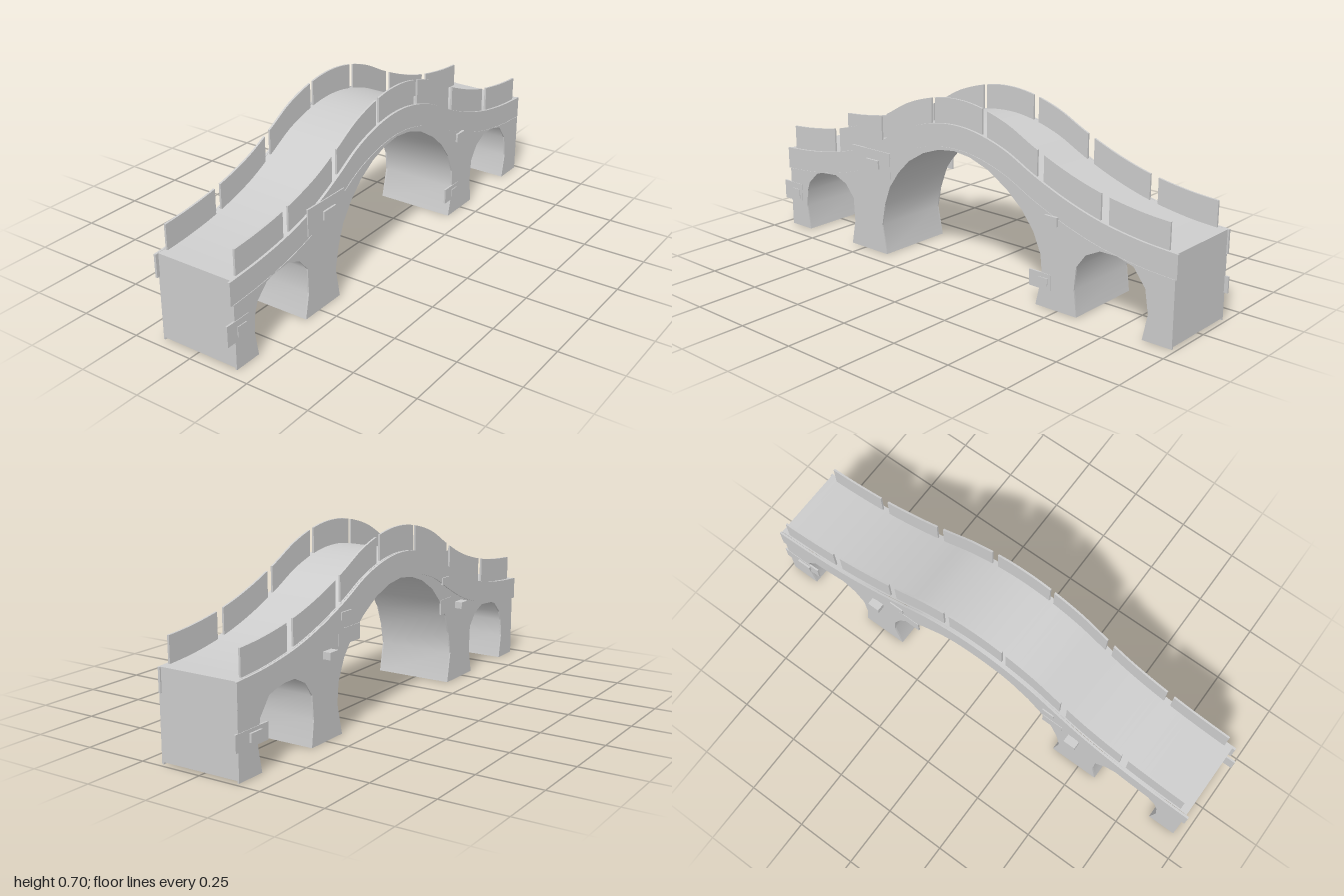
import * as THREE from 'three';

// Profiles are [z, y] points, running from the front (+z) to the back (-z).
const DECK = [[0.972, 0.34], [0.82, 0.352], [0.66, 0.378], [0.5, 0.425], [0.37, 0.487], [0.25, 0.552], [0.12, 0.592], [0, 0.605],
  [-0.12, 0.592], [-0.25, 0.552], [-0.38, 0.487], [-0.53, 0.425], [-0.68, 0.38], [-0.84, 0.352], [-0.99, 0.34]];
const FRONT_ARCH = [[0.845, 0], [0.862, 0.1], [0.855, 0.17], [0.84, 0.21], [0.79, 0.258], [0.73, 0.278], [0.67, 0.276],
  [0.61, 0.252], [0.565, 0.2], [0.56, 0.1], [0.58, 0]];
const MAIN_ARCH = [[0.375, 0], [0.398, 0.12], [0.38, 0.21], [0.35, 0.29], [0.3, 0.36], [0.24, 0.42], [0.16, 0.468], [0.08, 0.496],
  [0, 0.506], [-0.08, 0.496], [-0.17, 0.465], [-0.26, 0.41], [-0.33, 0.35], [-0.385, 0.28], [-0.42, 0.2], [-0.428, 0.12], [-0.4, 0]];
const BACK_ARCH = [[-0.585, 0], [-0.572, 0.1], [-0.58, 0.19], [-0.62, 0.245], [-0.68, 0.275], [-0.75, 0.275],
  [-0.82, 0.255], [-0.87, 0.19], [-0.885, 0.1], [-0.865, 0]];
const X0 = -0.15, X1 = 0.17, ZF = 0.96, ZB = -0.985, BAND = 0.09;

const mat = new THREE.MeshStandardMaterial({ color: 0xcccccc });
const sheetMat = new THREE.MeshStandardMaterial({ color: 0xcccccc, side: THREE.DoubleSide });

const deckCurve = new THREE.SplineCurve(DECK.map(([z, y]) => new THREE.Vector2(z, y)));
const deckPoints = deckCurve.getPoints(84).map((p) => [p.x, p.y]);

function deckY(z) {
  for (let i = 1; i < deckPoints.length; i++) {
    const [za, ya] = deckPoints[i - 1], [zb, yb] = deckPoints[i];
    if (z <= za && z >= zb) return THREE.MathUtils.lerp(ya, yb, (za - z) / (za - zb));
  }
  return 0.34;
}

// Deck heights sampled between two z positions, shifted by dy
function deckLine(za, zb, n, dy) {
  return Array.from({ length: n + 1 }, (_, i) => {
    const z = za + ((zb - za) * i) / n;
    return [z, deckY(z) + dy];
  });
}

function createModel() {
  const bridge = new THREE.Group();
  bridge.name = 'archBridge';

  function add(name, geometry, material = mat) {
    const mesh = new THREE.Mesh(geometry, material);
    mesh.name = name;
    bridge.add(mesh);
    return mesh;
  }

  // Slab with a [z, y] outline between xa and xb
  function slab(name, outline, xa, xb) {
    const shape = new THREE.Shape(outline.map(([z, y]) => new THREE.Vector2(z, y)));
    const geo = new THREE.ExtrudeGeometry(shape, { depth: xb - xa, bevelEnabled: false });
    geo.rotateY(-Math.PI / 2).translate(xb, 0, 0);
    return add(name, geo);
  }

  // Open surface sweeping a [z, y] line across the width
  function sheet(name, line) {
    const pos = [], index = [];
    line.forEach(([z, y], i) => {
      pos.push(X0, y, z, X1, y, z);
      const a = i * 2;
      if (i) index.push(a - 2, a - 1, a, a - 1, a + 1, a);
    });
    const geo = new THREE.BufferGeometry();
    geo.setAttribute('position', new THREE.Float32BufferAttribute(pos, 3));
    geo.setIndex(index);
    geo.computeVertexNormals();
    return add(name, geo, sheetMat);
  }

  // Box given by its x, y and z ranges
  function block(name, [xa, xb], [ya, yb], [za, zb]) {
    const geo = new THREE.BoxGeometry(xb - xa, yb - ya, zb - za);
    add(name, geo).position.set((xa + xb) / 2, (ya + yb) / 2, (za + zb) / 2);
  }

  // Road surface, arch linings and end walls; the piers are hollow below
  sheet('roadDeck', deckLine(ZF, ZB, 80, 0));
  sheet('frontArchLining', FRONT_ARCH);
  sheet('mainArchLining', MAIN_ARCH);
  sheet('backArchLining', BACK_ARCH);
  sheet('frontEndWall', [[ZF, 0.008], [ZF, deckY(ZF)]]);
  sheet('backEndWall', [[ZB, deckY(ZB)], [ZB, 0.008]]);

  // Side walls follow the three arches, with a band under the road edge
  const wall = [[ZF, 0], ...FRONT_ARCH, ...MAIN_ARCH, ...BACK_ARCH, [ZB, 0], ...deckLine(ZB, ZF, 64, -BAND)];
  const band = [...deckLine(0.972, -0.99, 64, 0), ...deckLine(-0.99, 0.972, 64, -BAND)];
  slab('rightSideWall', wall, -0.155, -0.148);
  slab('leftSideWall', wall, 0.168, 0.175);
  slab('rightEdgeBand', band, -0.16, -0.151);
  slab('leftEdgeBand', band, 0.164, 0.173);

  // Parapet slabs with gaps between them
  const spans = [[0.93, 0.68], [0.65, 0.4], [0.37, 0.125], [0.107, -0.13], [-0.155, -0.39], [-0.42, -0.67], [-0.705, -0.95]];
  for (const [za, zb] of spans) {
    const outline = [...deckLine(za, zb, 10, 0.098), ...deckLine(zb, za, 10, -0.01)];
    slab('rightParapet', outline, -0.144, -0.136);
    slab('leftParapet', outline, 0.155, 0.163);
  }

  // Flat stone patches on the walls
  const leftPatch = [0.17, 0.177], rightPatch = [-0.157, -0.15];
  block('leftPatch', leftPatch, [0.325, 0.43], [0.345, 0.56]);
  block('leftPatch', leftPatch, [0.11, 0.19], [0.89, 1.0]);
  block('leftPatch', leftPatch, [0.07, 0.132], [-0.47, -0.37]);
  block('rightPatch', rightPatch, [0.105, 0.168], [-1.0, -0.83]);
  block('rightPatch', rightPatch, [0.33, 0.39], [-0.42, -0.285]);
  block('rightPatch', rightPatch, [0.3, 0.36], [0.31, 0.4]);

  // Protruding bricks
  block('leftBrick', [0.17, 0.185], [0.355, 0.39], [0.405, 0.475]);
  block('leftBrick', [0.17, 0.18], [0.125, 0.165], [0.905, 0.95]);
  block('leftBrick', [0.17, 0.18], [0.085, 0.115], [-0.455, -0.415]);
  block('leftBrick', [0.17, 0.184], [0.322, 0.357], [-0.497, -0.442]);
  block('rightBrick', [-0.187, -0.15], [0.305, 0.332], [-0.515, -0.465]);
  block('rightBrick', [-0.187, -0.15], [0.305, 0.332], [0.43, 0.48]);
  block('rightBrick', [-0.165, -0.15], [0.423, 0.452], [-0.41, -0.35]);
  block('rightBrick', [-0.165, -0.15], [0.423, 0.452], [0.31, 0.36]);
  block('rightBrick', [-0.165, -0.15], [0.123, 0.155], [-0.93, -0.87]);

  return bridge;
}

export { createModel };
